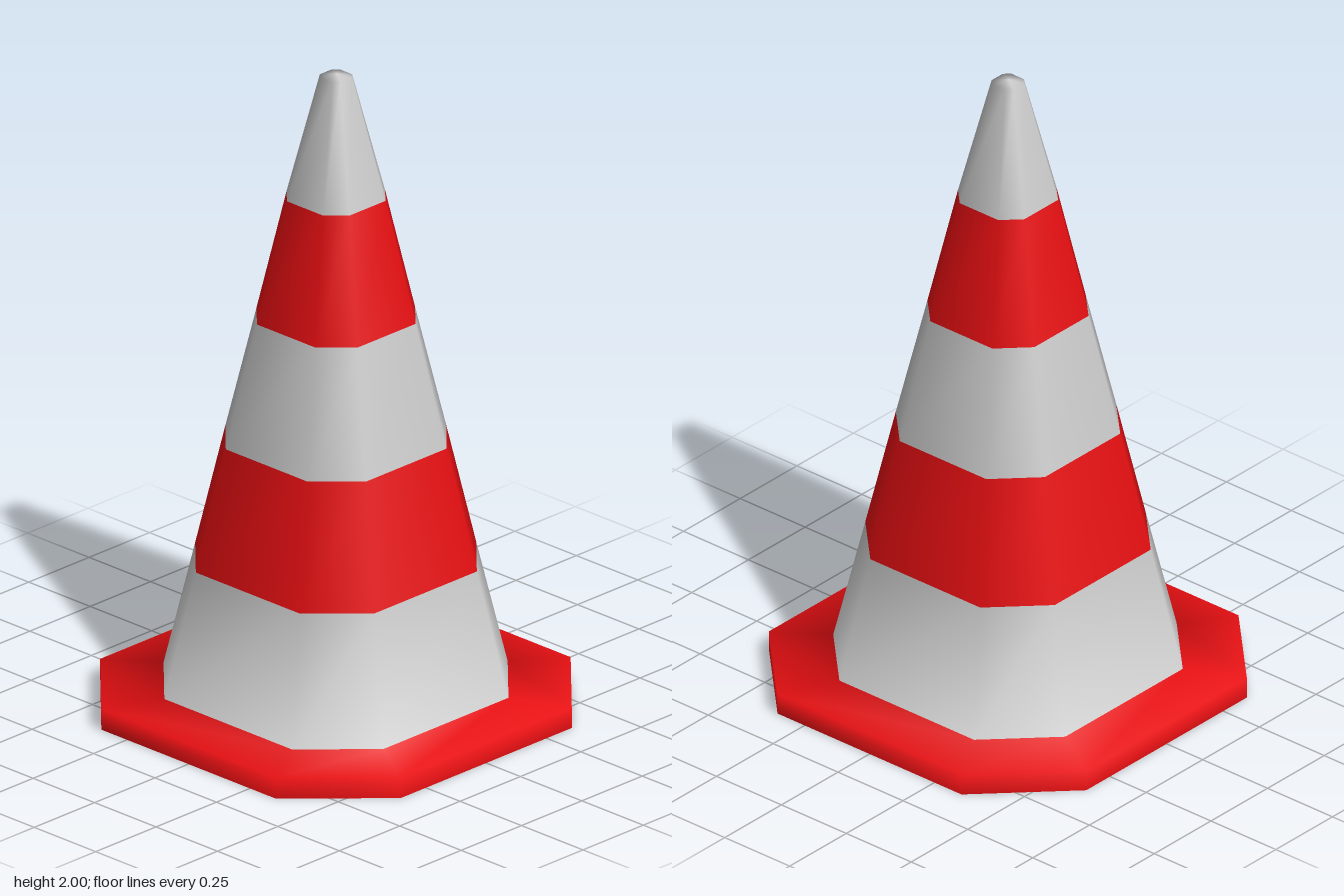
import * as THREE from 'three';

// Profile of the hollow shell from the skirt's bottom edge to the tip: [half width, height]
const PROFILE = [
  [0.611, 0], [0.611, 0.065], [0.447, 0.075], [0.365, 0.465], [0.287, 0.845],
  [0.206, 1.23], [0.128, 1.61], [0.042, 1.99], [0, 2],
];
// Chamfered square cross-section, counter-clockwise seen from above: [x, z]
const C = 0.58;
const SECTION = [[1, C], [1, -C], [C, -1], [-C, -1], [-1, -C], [-1, C], [-C, 1], [C, 1]];
const N = SECTION.length;

// Triangles joining the rings from one profile point to another
function bandIndex(from, to) {
  const index = [];
  for (let r = from; r < to; r++) {
    for (let i = 0; i < N; i++) {
      const a = r * N + i, b = r * N + (i + 1) % N;
      index.push(a, b, b + N);
      if (PROFILE[r + 1][0] > 0) index.push(a, b + N, a + N);
    }
  }
  return index;
}

export function createModel() {
  const group = new THREE.Group();
  group.name = 'trafficCone';

  // Whole shell first, so that the shading runs smoothly across the bands
  const shell = new THREE.BufferGeometry();
  const points = PROFILE.flatMap(([w, y]) => SECTION.flatMap(([x, z]) => [x * w, y, z * w]));
  shell.setAttribute('position', new THREE.Float32BufferAttribute(points, 3));
  shell.setIndex(bandIndex(0, PROFILE.length - 1));
  shell.computeVertexNormals();

  const red = new THREE.MeshStandardMaterial({ color: 0xe60f12, side: THREE.DoubleSide });
  const grey = new THREE.MeshStandardMaterial({ color: 0xcccccc, side: THREE.DoubleSide });

  // Base flange and the alternating bands of the cone
  const bands = [
    ['baseFlange', 0, 2, red],
    ['bottomBand', 2, 3, grey],
    ['lowerRedStripe', 3, 4, red],
    ['middleBand', 4, 5, grey],
    ['upperRedStripe', 5, 6, red],
    ['tip', 6, 8, grey],
  ];
  for (const [name, from, to, material] of bands) {
    const geometry = shell.clone();
    geometry.setIndex(bandIndex(from, to));
    const mesh = new THREE.Mesh(geometry, material);
    mesh.name = name;
    group.add(mesh);
  }
  return group;
}
